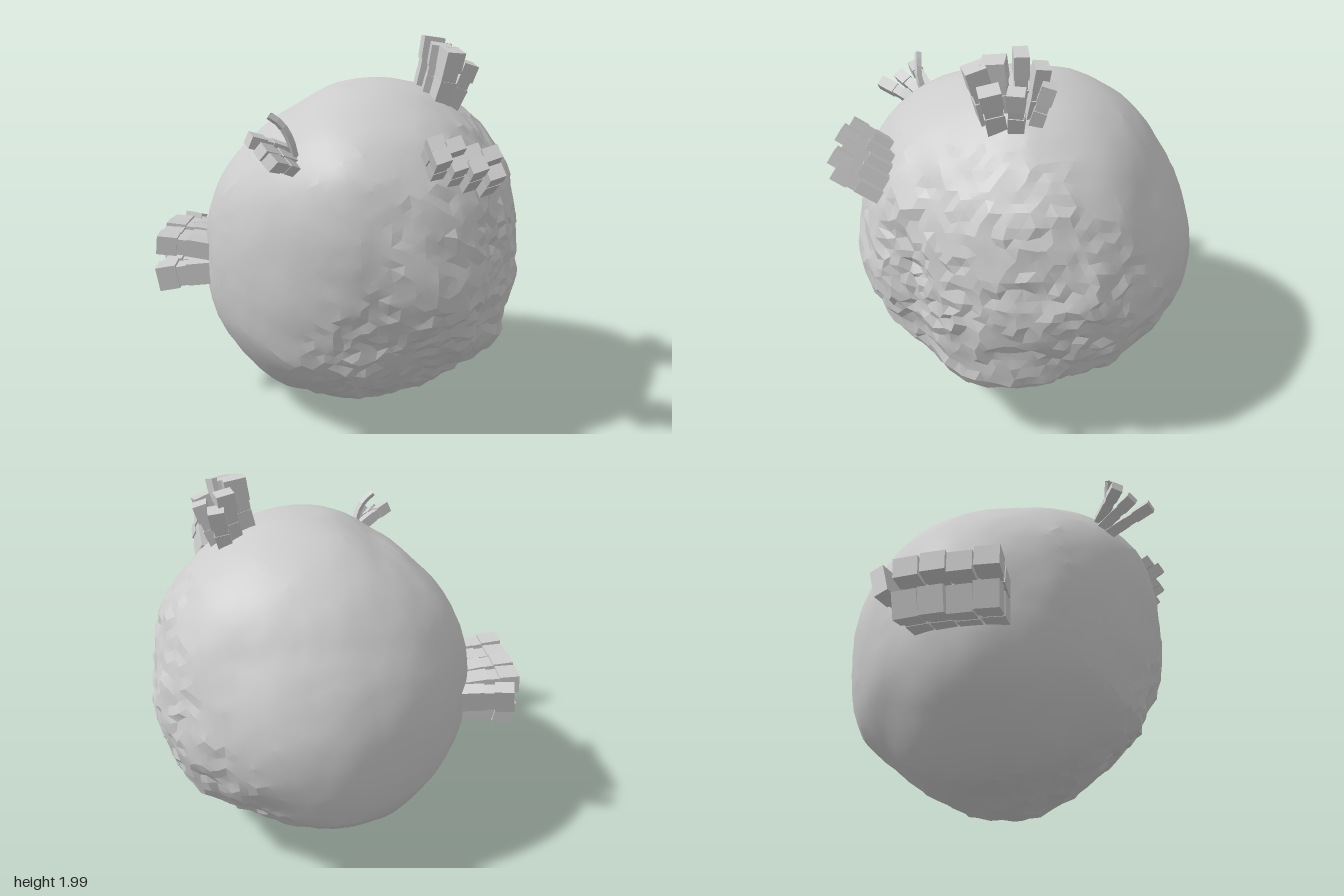
import * as THREE from 'three';
import { mergeVertices, toCreasedNormals } from 'three/addons/utils/BufferGeometryUtils.js';

const CENTRE = new THREE.Vector3(0.13, 0.88, -0.03);
const material = new THREE.MeshStandardMaterial({ color: 0xcccccc, side: THREE.DoubleSide });
const flatMaterial = new THREE.MeshStandardMaterial({ color: 0xcccccc, flatShading: true, side: THREE.DoubleSide });

// Outlines of the boulder in the xy, zy and xz planes
const OUTLINE_XY = [[-0.7, 1], [-0.68, 0.5], [-0.55, 0.3], [-0.3, 0.08], [-0.15, 0.06], [0.17, 0], [0.4, 0.08],
  [0.7, 0.25], [0.92, 0.4], [0.93, 0.6], [0.96, 1], [0.89, 1.4], [0.7, 1.6], [0.4, 1.75], [0.2, 1.78],
  [0, 1.73], [-0.2, 1.62], [-0.45, 1.45], [-0.62, 1.25]];
const OUTLINE_ZY = [[0.82, 1.1], [0.77, 0.8], [0.72, 0.6], [0.68, 0.42], [0.5, 0.25], [0.2, 0.07], [-0.07, 0],
  [-0.3, 0.08], [-0.6, 0.25], [-0.8, 0.41], [-0.89, 0.8], [-0.84, 1.05], [-0.7, 1.35], [-0.5, 1.6],
  [-0.2, 1.75], [0, 1.76], [0.4, 1.69], [0.6, 1.58], [0.75, 1.4]];
const OUTLINE_XZ = [[0.25, -0.89], [-0.1, -0.83], [-0.4, -0.67], [-0.6, -0.4], [-0.7, -0.2], [-0.68, 0.1],
  [-0.6, 0.35], [-0.4, 0.58], [-0.1, 0.74], [0.2, 0.8], [0.45, 0.82], [0.7, 0.66], [0.8, 0.5], [0.92, 0.2],
  [0.96, -0.15], [0.94, -0.4], [0.82, -0.6], [0.55, -0.8]];

// Chipped corners and swellings: direction, then height
const CHIPS = [
  [0.49, 0.37, -0.79, -0.035], [0.74, 0.6, 0.25, -0.035], [0.74, -0.6, -0.25, -0.035],
  [0.35, -0.6, 0.72, -0.055], [0.35, -0.6, -0.72, -0.065], [-0.3, -0.6, 0.74, 0.02], [-0.35, -0.87, -0.35, 0.025]
].map(([x, y, z, height]) => ({ direction: new THREE.Vector3(x, y, z).normalize(), height }));

function seeded(seed) {
  return () => (seed = (seed * 16807) % 2147483647) / 2147483647;
}

// Distance from the centre to an outline, as a function of angle
function polar(points, cx, cy) {
  const list = points.map(([x, y]) => [Math.atan2(y - cy, x - cx), Math.hypot(x - cx, y - cy)])
    .sort((a, b) => a[0] - b[0]);
  const first = list[0], last = list[list.length - 1];
  list.unshift([last[0] - 2 * Math.PI, last[1]]);
  list.push([first[0] + 2 * Math.PI, first[1]]);
  return (angle) => {
    let i = 1;
    while (i < list.length - 1 && list[i][0] < angle) i++;
    const [a, ra] = list[i - 1], [b, rb] = list[i];
    return THREE.MathUtils.lerp(ra, rb, (angle - a) / (b - a));
  };
}

const radiusXY = polar(OUTLINE_XY, CENTRE.x, CENTRE.y);
const radiusZY = polar(OUTLINE_ZY, CENTRE.z, CENTRE.y);
const radiusXZ = polar(OUTLINE_XZ, CENTRE.x, CENTRE.z);

// Blend the three outlines, each strongest in its own plane, then add the chips
function bodyRadius(d) {
  const wXY = 1 / (d.z * d.z + 0.02), wZY = 1 / (d.x * d.x + 0.02), wXZ = 1 / (d.y * d.y + 0.02);
  const sum = wXY * radiusXY(Math.atan2(d.y, d.x)) + wZY * radiusZY(Math.atan2(d.y, d.z))
    + wXZ * radiusXZ(Math.atan2(d.z, d.x));
  let r = sum / (wXY + wZY + wXZ);
  for (const { direction, height } of CHIPS) r += height * Math.exp(-((d.angleTo(direction) / 0.33) ** 2));
  return r;
}

function createBoulder() {
  let geometry = new THREE.IcosahedronGeometry(1, 18);
  geometry.deleteAttribute('uv');
  geometry.deleteAttribute('normal');
  geometry = mergeVertices(geometry, 1e-4);
  const p = geometry.attributes.position;
  const random = seeded(71);
  const roughSide = new THREE.Vector3(0.82, -0.45, 0.25).normalize();
  const d = new THREE.Vector3(), jitter = new THREE.Vector3();
  for (let i = 0; i < p.count; i++) {
    d.fromBufferAttribute(p, i).normalize();
    const rough = THREE.MathUtils.smoothstep(d.dot(roughSide), -0.1, 0.7);
    // Upright hollow beside the ridge on the front left
    const azimuth = Math.atan2(d.z, d.x);
    const hollow = 0.04 * Math.exp(-(((azimuth - 0.64) / 0.14) ** 2) - ((d.y - 0.05) / 0.5) ** 4);
    const lumps = Math.sin(9 * d.x + 4 * d.y) * Math.sin(8 * d.y - 5 * d.z + 1) * Math.sin(10 * d.z + 3 * d.x);
    const r = bodyRadius(d) - hollow + lumps * (0.004 + 0.014 * rough);
    jitter.set(random() - 0.5, random() - 0.5, random() - 0.5).multiplyScalar(0.004 + 0.021 * rough);
    d.multiplyScalar(r).add(CENTRE).add(jitter);
    p.setXYZ(i, d.x, Math.max(d.y, 0), d.z);
  }
  const mesh = new THREE.Mesh(toCreasedNormals(geometry, 0.22), material);
  mesh.name = 'boulder';
  return mesh;
}

// A stepped block: foot, narrow waist and wider head, from base to tip
function block(base, tip, width, depth, roll = 0) {
  const group = new THREE.Group();
  const from = new THREE.Vector3(...base), to = new THREE.Vector3(...tip);
  const length = from.distanceTo(to);
  const steps = [[0, 0.5, 0.92], [0.46, 0.72, 0.84], [0.66, 1, 1]];
  for (const [a, b, s] of steps) {
    const part = new THREE.Mesh(new THREE.BoxGeometry(width * s, length * (b - a), depth * s), flatMaterial);
    part.position.y = length * (a + b) / 2;
    part.rotation.z = (a - 0.3) * 0.12;
    part.name = 'blockStep';
    group.add(part);
  }
  group.position.copy(from);
  group.quaternion.setFromUnitVectors(new THREE.Vector3(0, 1, 0), to.sub(from).normalize());
  group.rotateY(roll);
  group.name = 'block';
  return group;
}

function cluster(name, blocks) {
  const group = new THREE.Group();
  group.name = name;
  for (const b of blocks) group.add(block(...b));
  return group;
}

// Two fanned rows of blocks and a separate slanted one on the right side
function createSideCluster() {
  const blocks = [];
  for (let i = 0; i < 4; i++) {
    const z = 0.11 - i * 0.118;
    blocks.push([[-0.64, 0.87, z], [-0.95, 0.915 - 0.015 * (i % 2), z * 1.06], 0.1, 0.118]);
    blocks.push([[-0.64, 0.76, z], [-0.955 + 0.02 * (i % 2), 0.72, z * 1.06], 0.13, 0.118]);
  }
  blocks.push([[-0.62, 0.83, -0.31], [-0.9, 0.87, -0.4], 0.15, 0.075]);
  return cluster('sideBlocks', blocks);
}

// Slim blocks and a bent blade on the upper front
function createFrontCluster() {
  const group = cluster('frontBlocks', [
    [[-0.17, 1.41, 0.57], [-0.27, 1.5, 0.83], 0.06, 0.06, 0.5],
    [[-0.19, 1.45, 0.56], [-0.32, 1.53, 0.74], 0.06, 0.06, 0.3],
    [[-0.2, 1.49, 0.55], [-0.38, 1.57, 0.67], 0.06, 0.06, 0.3]
  ]);
  const path = [[-0.18, 1.46, 0.56], [-0.2, 1.56, 0.6], [-0.24, 1.63, 0.61], [-0.29, 1.67, 0.62]]
    .map((q) => new THREE.Vector3(...q));
  const tube = new THREE.TubeGeometry(new THREE.CatmullRomCurve3(path), 6, 0.02, 4);
  const blade = new THREE.Mesh(tube, flatMaterial);
  blade.name = 'bentBlade';
  group.add(blade);
  return group;
}

// Staggered blocks on the upper front left corner
function createCornerCluster() {
  const blocks = [];
  for (let row = 0; row < 2; row++) {
    for (let col = 0; col < 4; col++) {
      const x = 0.44 + col * 0.08 + row * 0.02, y = 1.45 - row * 0.065 - col * 0.02;
      const z = 0.58 + row * 0.03 - col * 0.005;
      const reach = 1 + 0.14 * ((row + col) % 2);
      blocks.push([[x, y, z], [x + 0.02, y + 0.13 * reach, z + 0.2 * reach], 0.075, 0.065, 0.4]);
    }
  }
  return cluster('cornerBlocks', blocks);
}

// Two groups on the crown, leaning apart
function createTopCluster() {
  return cluster('topBlocks', [
    [[0.47, 1.64, 0.05], [0.53, 1.95, 0.08], 0.1, 0.11],
    [[0.51, 1.63, 0.1], [0.58, 1.93, 0.16], 0.1, 0.1, 0.4],
    [[0.57, 1.62, 0.06], [0.67, 1.86, 0.08], 0.08, 0.1, 0.3],
    [[0.44, 1.65, -0.03], [0.5, 1.98, -0.04], 0.11, 0.07, 0.2],
    [[0.5, 1.63, -0.08], [0.55, 1.94, -0.14], 0.09, 0.07, 0.3],
    [[0.54, 1.62, -0.1], [0.59, 1.87, -0.18], 0.08, 0.07],
    [[0.58, 1.61, -0.03], [0.67, 1.86, -0.04], 0.07, 0.08]
  ]);
}

export function createModel() {
  const model = new THREE.Group();
  model.name = 'boulderWithBlocks';
  model.add(createBoulder(), createSideCluster(), createFrontCluster(), createCornerCluster(), createTopCluster());
  return model;
}
